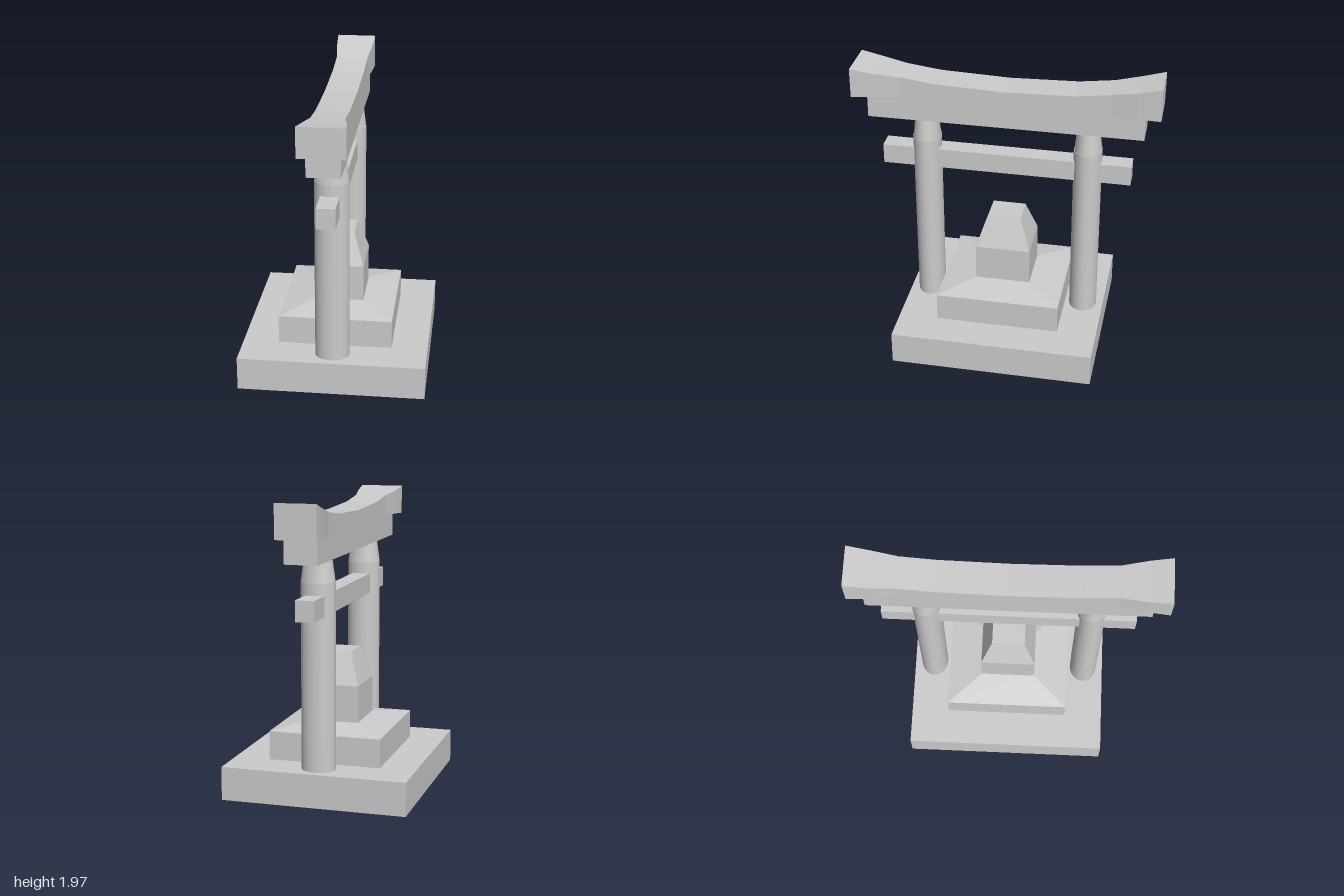
import * as THREE from 'three';

const smooth = new THREE.MeshStandardMaterial({ color: 0xcccccc });
const flat = new THREE.MeshStandardMaterial({ color: 0xcccccc, flatShading: true });

// Solid through rectangular sections [z, x0, x1, y0, y1], ordered along +z
function loft(sections) {
  const rings = sections.map(([z, x0, x1, y0, y1]) => [[x0, y0, z], [x1, y0, z], [x1, y1, z], [x0, y1, z]]);
  const pos = [];
  const quad = (a, b, c, d) => pos.push(...a, ...b, ...c, ...a, ...c, ...d);
  for (let k = 0; k + 1 < rings.length; k++) {
    const a = rings[k], b = rings[k + 1];
    for (let i = 0; i < 4; i++) {
      const j = (i + 1) % 4;
      quad(a[i], a[j], b[j], b[i]);
    }
  }
  const first = rings[0], last = rings[rings.length - 1];
  quad(first[3], first[2], first[1], first[0]);
  quad(...last);
  const g = new THREE.BufferGeometry();
  g.setAttribute('position', new THREE.Float32BufferAttribute(pos, 3));
  g.computeVertexNormals();
  return g;
}

export function createModel() {
  const model = new THREE.Group();
  model.name = 'shrineGate';

  const add = (name, geometry, material = flat, parent = model) => {
    const mesh = new THREE.Mesh(geometry, material);
    mesh.name = name;
    parent.add(mesh);
    return mesh;
  };
  const box = (name, x0, x1, y0, y1, z0, z1) =>
    add(name, new THREE.BoxGeometry(x1 - x0, y1 - y0, z1 - z0))
      .position.set((x0 + x1) / 2, (y0 + y1) / 2, (z0 + z1) / 2);

  box('base', -0.615, 0.615, 0, 0.222, -0.675, 0.675);

  // Stone: rectangular levels stacked upwards [y, half width, half depth]
  const levels = [[0.222, 0.377, 0.413], [0.413, 0.377, 0.413], [0.452, 0.165, 0.184], [0.698, 0.165, 0.184], [0.915, 0.095, 0.11]];
  add('stone', loft(levels.map(([y, w, d]) => [y, -w, w, -d, d])).rotateX(-Math.PI / 2));

  // Oval pillars with tapered necks
  for (const side of [1, -1]) {
    const pillar = new THREE.Group();
    pillar.name = side > 0 ? 'frontPillar' : 'backPillar';
    pillar.position.set(-0.003, 0, side * 0.535);
    add('shaft', new THREE.CylinderGeometry(1, 1, 1.218, 32).scale(0.112, 1, 0.093).translate(0, 0.831, 0), smooth, pillar);
    add('neck', new THREE.CylinderGeometry(0.82, 1, 0.15, 32).scale(0.112, 1, 0.09).translate(0, 1.515, 0), smooth, pillar);
    model.add(pillar);
  }

  box('tieBeam', -0.067, 0.055, 1.228, 1.363, -0.825, 0.825);
  box('lintel', -0.115, 0.098, 1.59, 1.748, -0.9, 0.903);

  // Curved top beam with flared ends
  add('topBeam', loft([
    [-1, -0.141, 0.123, 1.748, 1.968],
    [-0.85, -0.134, 0.115, 1.748, 1.928],
    [-0.68, -0.115, 0.098, 1.748, 1.893],
    [-0.45, -0.115, 0.098, 1.748, 1.862],
    [0, -0.115, 0.098, 1.748, 1.847],
    [0.45, -0.115, 0.098, 1.748, 1.862],
    [0.68, -0.115, 0.098, 1.748, 1.89],
    [0.86, -0.146, 0.128, 1.748, 1.914],
    [1, -0.158, 0.14, 1.742, 1.938],
  ]));

  return model;
}
